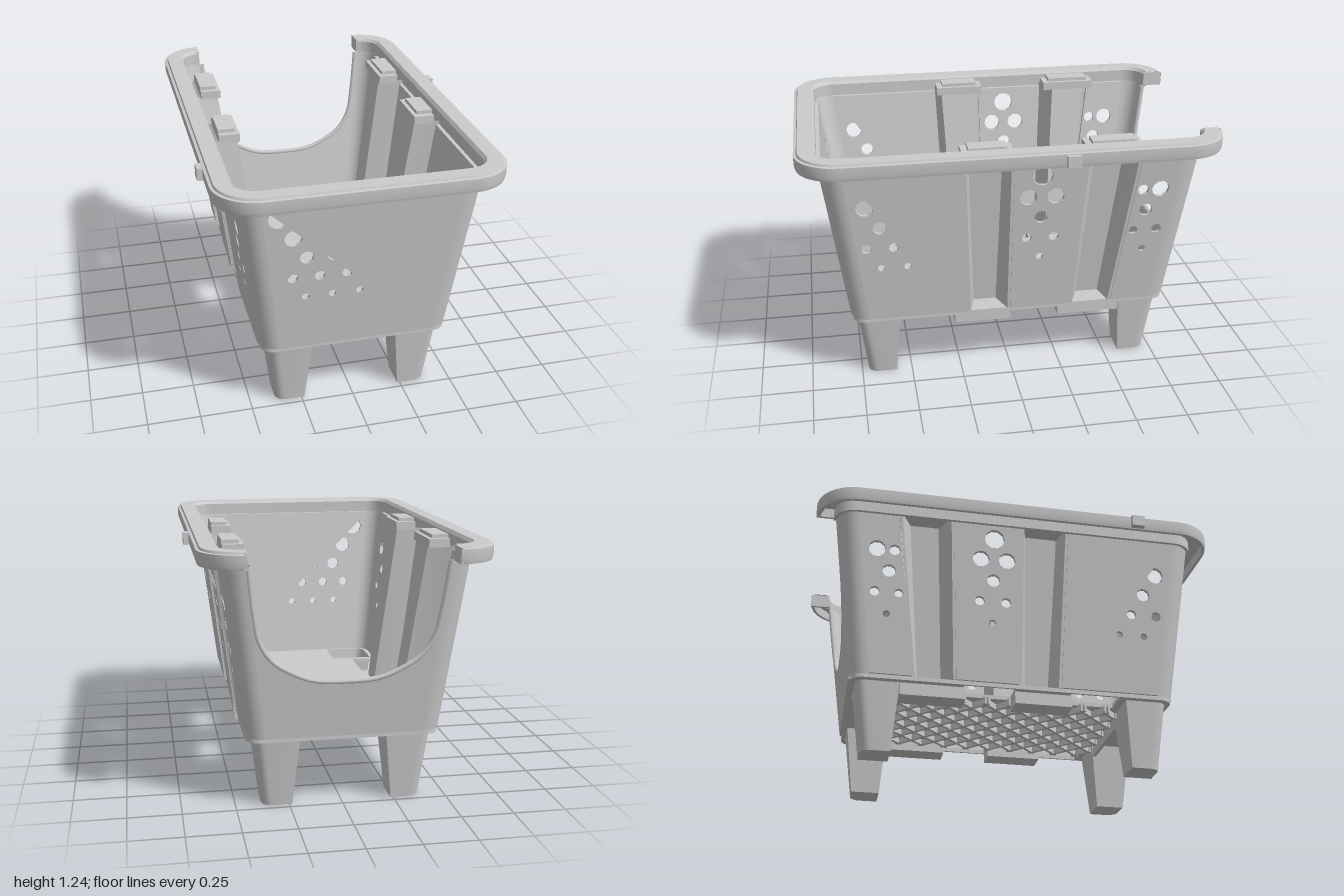
import * as THREE from 'three';
import { toCreasedNormals } from 'three/addons/utils/BufferGeometryUtils.js';

const material = new THREE.MeshStandardMaterial({ color: 0xcccccc, side: THREE.DoubleSide });
const Y0 = 0.35, Y1 = 1.165, THICK = 0.018;
const lerp = THREE.MathUtils.lerp;
const V2 = (x, y) => new THREE.Vector2(x, y);
const V3 = (x, y, z) => new THREE.Vector3(x, y, z);

function add(parent, name, geometry) {
  const mesh = new THREE.Mesh(geometry, material);
  mesh.name = name;
  parent.add(mesh);
  return mesh;
}

function box(parent, name, x0, x1, y0, y1, z0, z1) {
  const mesh = add(parent, name, new THREE.BoxGeometry(x1 - x0, y1 - y0, z1 - z0));
  mesh.position.set((x0 + x1) / 2, (y0 + y1) / 2, (z0 + z1) / 2);
  return mesh;
}

// Skin over equal closed loops of points, with an optional fan over the last loop
function loft(loops, capEnd = false) {
  const n = loops[0].length, index = [];
  for (let i = 0; i < loops.length - 1; i++) {
    for (let j = 0; j < n; j++) {
      const a = i * n + j, b = i * n + (j + 1) % n;
      index.push(a, b, a + n, b, b + n, a + n);
    }
  }
  const last = (loops.length - 1) * n;
  if (capEnd) for (let j = 1; j < n - 1; j++) index.push(last, last + j, last + j + 1);
  const geometry = new THREE.BufferGeometry().setFromPoints(loops.flat());
  geometry.setIndex(index);
  return toCreasedNormals(geometry, 0.6);
}

// Flat wall with holes, leaned outward so its outer face follows base -> top
function panel(outline, holes, base, top) {
  const shape = new THREE.Shape(outline.map(([x, y]) => V2(x, y)));
  for (const [cx, cy, r] of holes) {
    const n = r > 0.03 ? 10 : 8, ring = [];
    for (let i = 0; i < n; i++) {
      const a = -i / n * Math.PI * 2;
      ring.push(V2(cx + r * Math.cos(a), cy + r * Math.sin(a)));
    }
    shape.holes.push(new THREE.Path(ring));
  }
  const geometry = new THREE.ExtrudeGeometry(shape, { depth: THICK, bevelEnabled: false });
  const p = geometry.attributes.position;
  for (let i = 0; i < p.count; i++) {
    p.setZ(i, p.getZ(i) - THICK + lerp(base, top, (p.getY(i) - Y0) / (Y1 - Y0)));
  }
  geometry.computeVertexNormals();
  return geometry;
}

// Leg cross-section at t = 0 (floor) to 1 (foot), rounded on the outer corner
function legSection(t) {
  const x0 = lerp(0.2, 0.237, t), x1 = lerp(0.42, 0.378, t);
  const z0 = lerp(0.55, 0.577, t), z1 = lerp(0.76, 0.717, t), r = 0.05;
  const pts = [V2(x0, z0), V2(x1, z0)];
  for (let i = 0; i <= 5; i++) {
    const a = i / 5 * Math.PI / 2;
    pts.push(V2(x1 - r + r * Math.cos(a), z1 - r + r * Math.sin(a)));
  }
  pts.push(V2(x0, z1));
  return pts;
}

// Rounded wall corner, as a curved slab tapering downward
function cornerLoop(y, cx, cz, r) {
  const outer = [], inner = [];
  for (let i = 0; i <= 8; i++) {
    const a = i / 8 * Math.PI / 2, c = Math.cos(a), s = Math.sin(a);
    outer.push(V3(cx + r * c, y, cz + r * s));
    inner.unshift(V3(cx + (r - THICK) * c, y, cz + (r - THICK) * s));
  }
  return [...outer, ...inner];
}

// Hollow channel section: z edges at the wall (a, b) and at the inner face (ai, bi)
function channelLoop(y, wall, face, [a, ai, bi, b]) {
  const t = 0.014;
  return [[wall, a], [face, ai], [face, bi], [wall, b], [wall, b + t],
    [face + t, bi + t], [face + t, ai - t], [wall, a - t]].map(([x, z]) => V3(x, y, z));
}

// One long side: three pierced panels, two channels and the rails under them
function buildSide() {
  const side = new THREE.Group();
  side.name = 'longSide';
  const rows = [[1.085, 0.05], [0.975, 0.042], [0.865, 0.033], [0.755, 0.025], [0.645, 0.018]];
  const panels = [
    { top: [0.8, 0.25], low: [0.7, 0.22], even: [0.635, 0.51, 0.385], odd: [0.7, 0.573, 0.447, 0.32] },
    { top: [0.01, -0.33], low: [0.01, -0.29], even: [-0.125], odd: [-0.06, -0.19] },
    { top: [-0.6, -0.8], low: [-0.5, -0.7], even: [-0.635], odd: [-0.698] },
  ];
  panels.forEach(({ top, low, even, odd }, k) => {
    const holes = rows.flatMap(([y, r], i) => (i % 2 ? odd : even).map(z => [-z, y, r]));
    if (k === 2) holes.push([0.613, 0.975, 0.028], [0.583, 0.755, 0.022]);
    const outline = [[-low[0], Y0], [-low[1], Y0], [-top[1], Y1], [-top[0], Y1]];
    add(side, 'sidePanel', panel(outline, holes, 0.46, 0.56).rotateY(Math.PI / 2));
  });
  const channels = [
    { low: [0.22, 0.19, 0.05, 0.01], top: [0.25, 0.225, 0.035, 0.01], rail: [0, 0.28] },
    { low: [-0.29, -0.335, -0.475, -0.5], top: [-0.33, -0.38, -0.55, -0.6], rail: [-0.55, -0.24] },
  ];
  for (const { low, top, rail } of channels) {
    add(side, 'channel', loft([channelLoop(Y0, 0.455, 0.33, low), channelLoop(1.18, 0.56, 0.44, top)]));
    box(side, 'channelCap', 0.43, 0.53, 1.175, 1.215, top[3], top[0]);
    box(side, 'capTab', 0.45, 0.53, 1.215, 1.232, top[3] + 0.03, top[0] - 0.03);
    box(side, 'floorRail', 0.31, 0.42, 0.27, 0.34, ...rail);
  }
  return side;
}

// Floor plate with leg wells and side cut-outs
function floorGeometry() {
  const x = 0.45, z = 0.78, r = 0.06, shape = new THREE.Shape();
  shape.absarc(x - r, z - r, r, 0, Math.PI / 2);
  shape.absarc(r - x, z - r, r, Math.PI / 2, Math.PI);
  shape.absarc(r - x, r - z, r, Math.PI, Math.PI * 1.5);
  shape.absarc(x - r, r - z, r, Math.PI * 1.5, Math.PI * 2);
  for (const sx of [1, -1]) {
    for (const sz of [1, -1]) {
      shape.holes.push(new THREE.Path(legSection(0).map(p => V2(p.x * sx, p.y * sz))));
    }
    for (const [a, b] of [[-0.25, 0], [0.27, 0.515]]) {
      shape.holes.push(new THREE.Path([V2(0.31 * sx, a), V2(0.44 * sx, a), V2(0.44 * sx, b), V2(0.31 * sx, b)]));
    }
  }
  const geometry = new THREE.ExtrudeGeometry(shape, { depth: 0.02, bevelEnabled: false, curveSegments: 6 });
  return geometry.rotateX(Math.PI / 2).translate(0, Y0, 0);
}

// Rim: hooked profile swept around the basket, open at the back
function rimGeometry() {
  const profile = [[0.1, 1.155], [0.1, 1.225], [0.113, 1.24], [0.183, 1.24], [0.187, 1.23], [0.2, 1.228],
    [0.2, 1.18], [0.195, 1.163], [0.18, 1.163], [0.18, 1.212], [0.115, 1.212], [0.115, 1.155]];
  const centres = [[0.46, -0.8], [0.46, 0.8], [-0.46, 0.8], [-0.46, -0.8]], loops = [];
  centres.forEach(([cx, cz], k) => {
    for (let i = 0; i <= 10; i++) {
      const a = (k - 1 + i / 10) * Math.PI / 2;
      loops.push(profile.map(([r, y]) => V3(cx + r * Math.cos(a), y, cz + r * Math.sin(a))));
    }
  });
  return loft(loops);
}

export function createModel() {
  const model = new THREE.Group();
  model.name = 'basket';

  // Front wall with rows of shrinking holes
  const even = [0, 0.127, -0.127, 0.253, -0.253], odd = [0.063, -0.063, 0.19, -0.19, 0.315, -0.315];
  const rows = [[1.083, 0.05, [...even, 0.38, -0.38]], [0.973, 0.042, odd], [0.863, 0.033, even],
    [0.755, 0.025, odd], [0.645, 0.018, even]];
  const frontHoles = rows.flatMap(([y, r, xs]) => xs.map(x => [x, y, r]));
  add(model, 'frontWall', panel([[-0.37, Y0], [0.37, Y0], [0.46, Y1], [-0.46, Y1]], frontHoles, 0.79, 0.9));

  // Back wall with a deep scoop and a rolled lip
  const half = [[0.45, Y1], [0.425, 0.95], [0.4, 0.82], [0.34, 0.725], [0.25, 0.665], [0.15, 0.625]];
  const scoop = [...half, [0, 0.615], ...half.map(([x, y]) => [-x, y]).reverse()];
  const backOutline = [[-0.37, Y0], [0.37, Y0], [0.46, Y1], ...scoop, [-0.46, Y1]];
  add(model, 'backWall', panel(backOutline, [], 0.79, 0.9).rotateY(Math.PI));
  const lipPath = new THREE.CatmullRomCurve3(scoop.map(([x, y]) =>
    V3(x, y, THICK / 2 - lerp(0.79, 0.9, (y - Y0) / (Y1 - Y0)))));
  add(model, 'scoopLip', new THREE.TubeGeometry(lipPath, 48, 0.013, 6));

  // Mirrored long sides
  const right = buildSide(), left = buildSide();
  left.scale.x = -1;
  model.add(right, left);

  // Corners and hollow legs
  const corner = loft([cornerLoop(Y0, 0.37, 0.7, 0.09), cornerLoop(Y1, 0.46, 0.8, 0.1)]);
  const leg = loft([[0, Y0], [1, 0]].map(([t, y]) => legSection(t).map(p => V3(p.x, y, p.y))), true);
  for (const sx of [1, -1]) {
    for (const sz of [1, -1]) {
      add(model, 'wallCorner', corner).scale.set(sx, 1, sz);
      add(model, 'leg', leg).scale.set(sx, 1, sz);
    }
  }

  // Floor, end rails and diagonal ribs underneath
  add(model, 'floor', floorGeometry());
  for (const s of [1, -1]) {
    box(model, 'endRail', -0.21, 0.21, 0.27, 0.34, s * 0.565 - 0.008, s * 0.565 + 0.008);
    for (let c = -0.78; c < 0.8; c += 0.12) {
      // Rib along z = c + s * x, clipped to the lattice area
      const x0 = Math.max(-0.315, Math.min(s * (-0.55 - c), s * (0.55 - c)));
      const x1 = Math.min(0.315, Math.max(s * (-0.55 - c), s * (0.55 - c)));
      if (x1 - x0 < 0.03) continue;
      const rib = add(model, 'floorRib', new THREE.BoxGeometry((x1 - x0) * Math.SQRT2, 0.035, 0.016));
      rib.position.set((x0 + x1) / 2, 0.318, c + s * (x0 + x1) / 2);
      rib.rotation.y = -s * Math.PI / 4;
    }
  }

  // Rim with end plates and a tab on each side
  add(model, 'rim', rimGeometry());
  for (const s of [1, -1]) {
    box(model, 'rimEnd', s * 0.465 - 0.006, s * 0.465 + 0.006, 1.163, 1.235, -0.998, -0.9);
    const z = s > 0 ? -0.24 : 0.58;
    box(model, 'rimTab', s * 0.67 - 0.015, s * 0.67 + 0.015, 1.168, 1.225, z - 0.032, z + 0.032);
  }
  return model;
}
